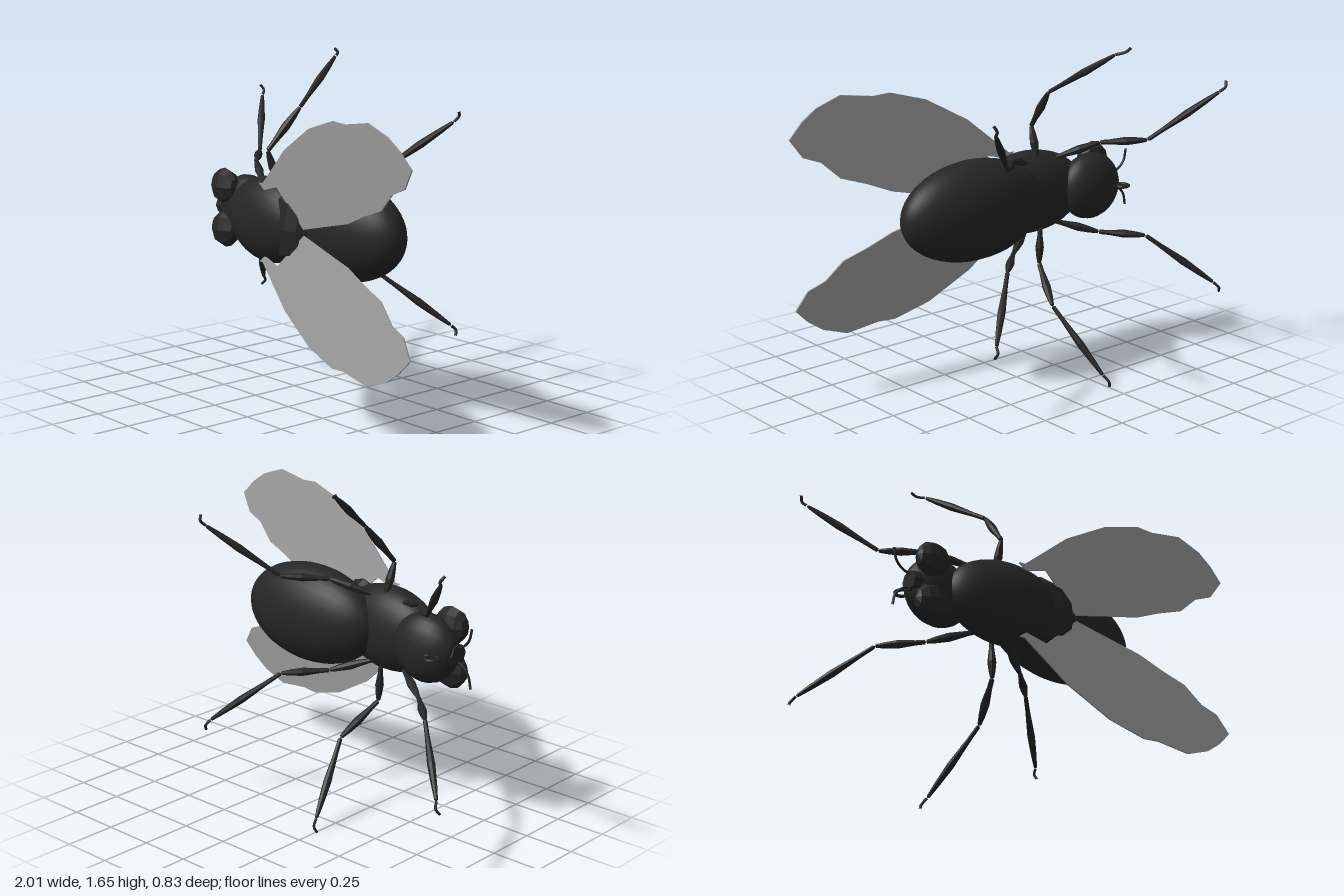
import * as THREE from 'three';

const MID = 0.87; // height of the body's mirror plane
const dark = new THREE.MeshStandardMaterial({ color: 0x262626 });
const darkFlat = new THREE.MeshStandardMaterial({ color: 0x262626, flatShading: true });
const wingMat = new THREE.MeshStandardMaterial({ color: 0xa0a0a0, side: THREE.DoubleSide });
const V = (p) => new THREE.Vector3(...p);

function add(parent, name, geometry, material) {
  const mesh = new THREE.Mesh(geometry, material);
  mesh.name = name;
  parent.add(mesh);
  return mesh;
}

// Ellipsoid whose poles lie along the body's long axis (x)
function ellipsoid(parent, name, center, radii, material, w = 32, h = 24, tilt = 0) {
  const g = new THREE.SphereGeometry(1, w, h);
  g.rotateZ(Math.PI / 2).scale(...radii).rotateY(tilt).translate(...center);
  return add(parent, name, g, material);
}

// Spindle-shaped limb segment between two points
function segment(parent, name, a, b, r) {
  const from = V(a), dir = V(b).sub(from), L = dir.length();
  const profile = [[0, 0], [0.55, 0.02], [0.6, 0.2], [1, 0.55], [0.75, 0.8], [0.45, 0.98], [0, 1]]
    .map(([x, y]) => new THREE.Vector2(x * r, y * L));
  const m = add(parent, name, new THREE.LatheGeometry(profile, 8), darkFlat);
  m.position.copy(from);
  m.quaternion.setFromUnitVectors(new THREE.Vector3(0, 1, 0), dir.normalize());
}

function tube(parent, name, points, r, n = 16) {
  const curve = new THREE.CatmullRomCurve3(points.map(V));
  return add(parent, name, new THREE.TubeGeometry(curve, n, r, 6), dark);
}

// Leg: thigh, shin and foot segments, ending in a small hooked claw
function leg(parent, name, pts) {
  const g = new THREE.Group();
  g.name = name;
  parent.add(g);
  ['thigh', 'shin', 'foot'].forEach((part, i) => segment(g, part, pts[i], pts[i + 1], [0.021, 0.021, 0.019][i]));
  const [ankle, toe] = [pts[3], pts[4]];
  const bend = ankle.map((v, i) => (v + toe[i]) / 2 + (i === 2 ? -0.018 : 0));
  tube(g, 'claw', [ankle, bend, toe], 0.007, 8);
}

const flip = ([x, y, z]) => [x, 2 * MID - y, z];

export function createModel() {
  const fly = new THREE.Group();
  fly.name = 'fly';

  // Body
  ellipsoid(fly, 'abdomen', [0.2, 0.875, 0.08], [0.405, 0.245, 0.172], dark, 32, 24, -0.03);
  ellipsoid(fly, 'thorax', [-0.22, MID, 0.17], [0.31, 0.208, 0.136], dark, 32, 24, -0.12);
  ellipsoid(fly, 'scutellum', [-0.02, MID, 0.2], [0.165, 0.195, 0.095], darkFlat, 8, 6, -0.3);
  ellipsoid(fly, 'head', [-0.53, MID, 0.06], [0.175, 0.168, 0.104], dark, 24, 16);

  // Snout, a coiled feeding tube under the head
  const coil = [[-0.57, MID, -0.02]];
  for (let i = 0; i <= 12; i++) {
    const a = 0.4 + i * 0.5, r = 0.042 - i * 0.0014;
    coil.push([-0.648 + r * Math.cos(a), MID, -0.048 - r * Math.sin(a) * -1]);
  }
  tube(fly, 'proboscis', coil, 0.009, 40);

  // Face between the eyes
  const face = add(fly, 'face', new THREE.CylinderGeometry(0.05, 0.06, 0.13, 8), darkFlat);
  face.rotation.z = Math.PI / 2;
  face.position.set(-0.64, MID, 0.08);

  // Wing outline in the front plane, root first
  const outline = [[-0.2, 1.06], [-0.17, 1.06], [0.05, 1.25], [0.27, 1.375], [0.46, 1.43], [0.55, 1.425],
    [0.72, 1.45], [0.85, 1.405], [0.93, 1.35], [1, 1.28], [0.94, 1.19], [0.85, 1.155], [0.76, 1.07],
    [0.63, 1.025], [0.5, 0.97], [0.35, 0.935], [0.14, 0.885], [-0.05, 1.06], [-0.16, 1.03]];
  const wingZ = (x, y) => 0.25 + 0.104 * (x + 0.2) + 0.13 * (y - 1.05);

  const legs = {
    front: [[-0.34, 1.03, 0.12], [-0.54, 1.1, 0.0], [-0.71, 1.115, -0.16], [-0.97, 1.36, -0.39], [-1, 1.41, -0.4]],
    hind: [[-0.17, 1.03, 0.12], [0.02, 1.1, 0.0], [0.19, 1.115, -0.16], [0.45, 1.36, -0.39], [0.47, 1.41, -0.4]],
  };

  for (const side of [1, -1]) {
    const tag = side > 0 ? 'upper' : 'lower';
    const m = side > 0 ? (p) => p : flip;

    // Eyes and antennae
    ellipsoid(fly, tag + 'Eye', m([-0.615, MID + 0.108, 0.138]), [0.09, 0.092, 0.058], darkFlat, 8, 6);
    tube(fly, tag + 'Antenna', [[-0.68, 0.905, 0.08], [-0.73, 0.915, 0.075], [-0.77, 0.955, 0.07], [-0.785, 1.015, 0.07]].map(m), 0.006);

    // Thin, slanted wing
    const shape = new THREE.Shape(outline.map(([x, y]) => new THREE.Vector2(x, m([x, y, 0])[1])));
    const g = new THREE.ExtrudeGeometry(shape, { depth: 0.008, bevelEnabled: false });
    const p = g.attributes.position;
    for (let i = 0; i < p.count; i++) {
      const x = p.getX(i), y = MID + Math.abs(p.getY(i) - MID);
      p.setZ(i, p.getZ(i) + wingZ(x, y));
    }
    g.computeVertexNormals();
    add(fly, tag + 'Wing', g, wingMat);

    for (const [name, pts] of Object.entries(legs)) leg(fly, `${tag} ${name} leg`, pts.map(m));
  }

  // Middle legs, each in its own pose
  leg(fly, 'upper middle leg', [[-0.23, 1.02, 0.11], [-0.24, 1.2, 0.17], [-0.2, 1.4, 0], [-0.32, 1.615, -0.33], [-0.375, 1.645, -0.375]]);
  leg(fly, 'lower middle leg', [[-0.23, 0.7, 0.09], [-0.22, 0.52, 0.085], [-0.145, 0.365, -0.1], [-0.235, 0.06, -0.37], [-0.26, 0.005, -0.39]]);

  return fly;
}
